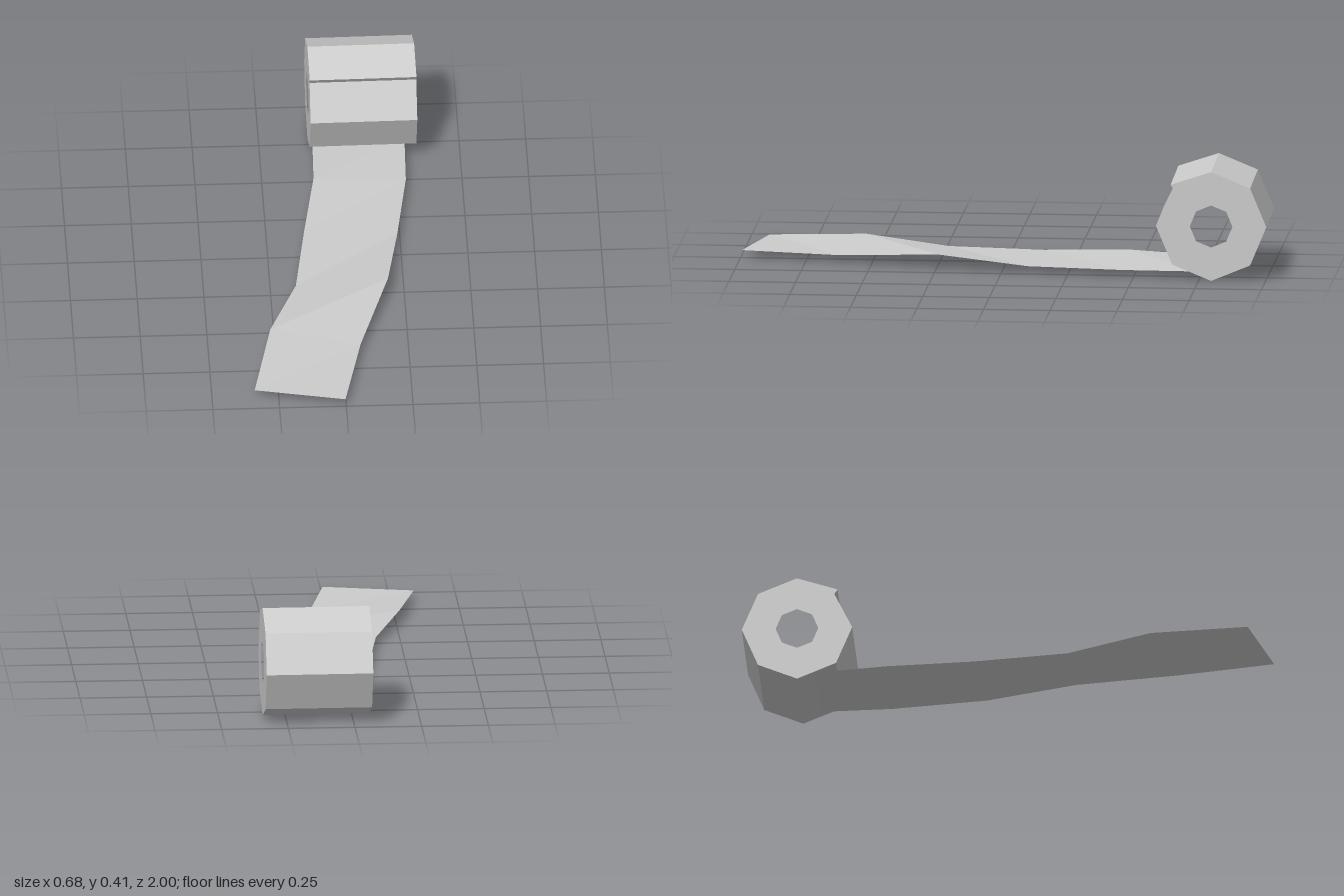
import * as THREE from 'three';

export function createModel() {
  const model = new THREE.Group();
  const paper = new THREE.MeshStandardMaterial({ color: 0xcccccc, flatShading: true });
  paper.name = 'paper';
  const sheet = new THREE.MeshStandardMaterial({ color: 0xcccccc, flatShading: true, side: THREE.DoubleSide });
  sheet.name = 'paperSheet';

  // Eight-sided roll with a small step where the outer layer ends
  const ring = (r, skip) => {
    const points = [];
    for (let i = 0; i < 8; i++) {
      const a = Math.PI / 2 - (i * Math.PI) / 4;
      if (i !== skip) points.push(new THREE.Vector2(r * Math.cos(a), r * Math.sin(a)));
    }
    return points;
  };
  const outline = ring(0.207, 7);
  outline.push(new THREE.Vector2(-0.14, 0.138), new THREE.Vector2(-0.152, 0.157));
  const profile = new THREE.Shape(outline);
  profile.holes.push(new THREE.Path(ring(0.08)));
  const width = 0.4;
  const rollGeometry = new THREE.ExtrudeGeometry(profile, { depth: width, bevelEnabled: false });
  rollGeometry.translate(0, 0, -width / 2).rotateY(Math.PI / 2);
  const roll = new THREE.Mesh(rollGeometry, paper);
  roll.name = 'paperRoll';
  roll.position.set(0.134, 0.209, -0.794);
  roll.rotation.y = 0.014;
  model.add(roll);

  // Unrolled sheet: left and right edge points of each crease
  const creases = [
    [[-0.05, 0.03, -0.74], [0.295, 0.03, -0.74]],
    [[-0.058, 0.045, -0.46], [0.288, 0.03, -0.46]],
    [[-0.108, 0.03, -0.13], [0.24, 0.03, -0.1]],
    [[-0.155, 0.03, 0.23], [0.19, 0.06, 0.24]],
    [[-0.265, 0.052, 0.55], [0.07, 0.03, 0.63]],
    [[-0.34, 0.03, 0.92], [-0.003, 0.03, 0.995]],
  ];
  const index = [];
  for (let i = 0; i < creases.length - 1; i++) {
    const a = i * 2;
    index.push(a, a + 2, a + 1, a + 1, a + 2, a + 3);
  }
  const strip = new THREE.BufferGeometry();
  strip.setAttribute('position', new THREE.Float32BufferAttribute(creases.flat(2), 3));
  strip.setIndex(index);
  strip.computeVertexNormals();
  const looseSheet = new THREE.Mesh(strip, sheet);
  looseSheet.name = 'looseSheet';
  model.add(looseSheet);

  return model;
}
